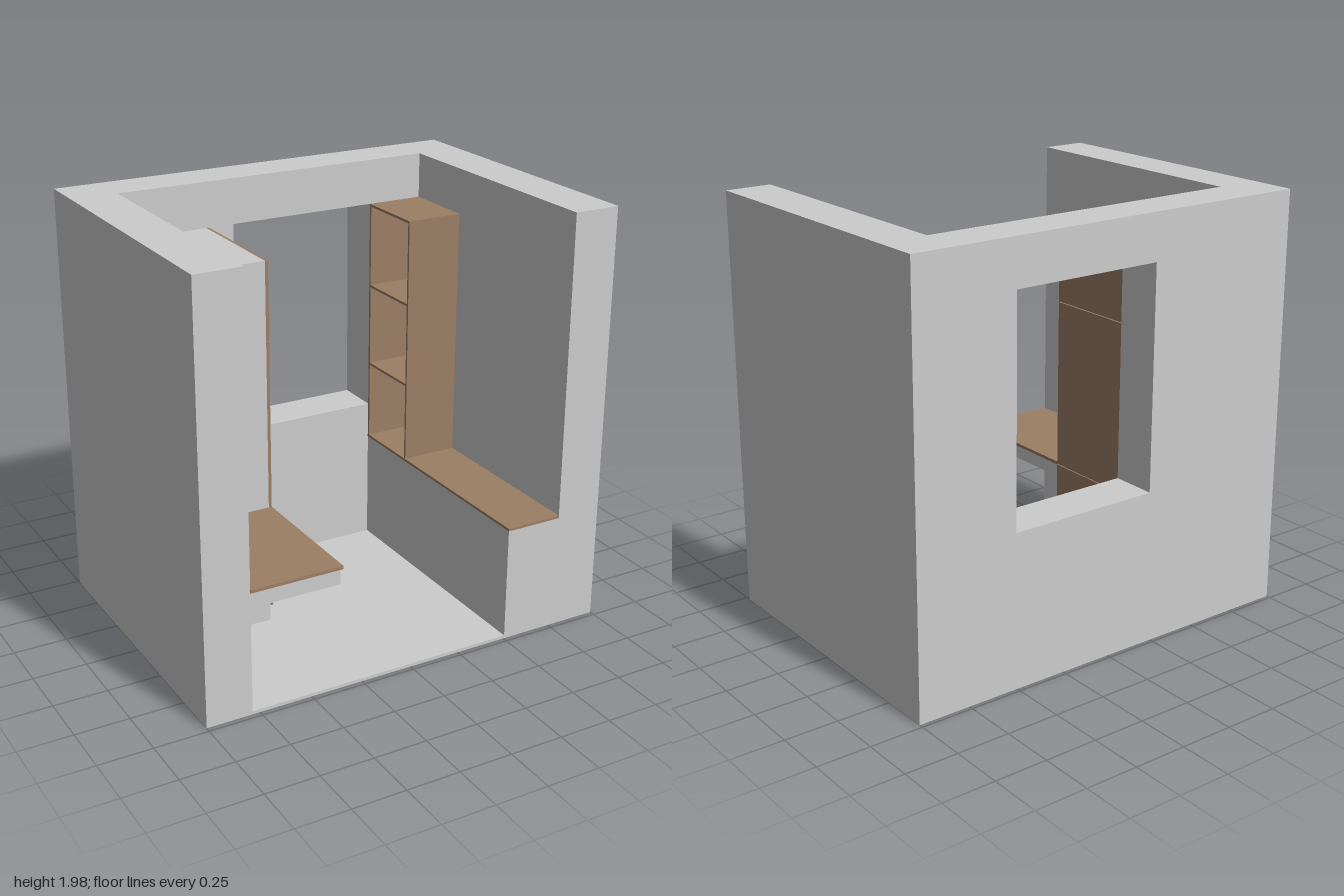
import * as THREE from 'three';

const wallGrey = new THREE.MeshStandardMaterial({ color: 0xcccccc });
wallGrey.name = 'wallGrey';
const woodBrown = new THREE.MeshStandardMaterial({ color: 0x9c7f65 });
woodBrown.name = 'woodBrown';

// Box given by its low and high corner on each axis
function box(parent, name, mat, [x0, x1], [y0, y1], [z0, z1]) {
  const mesh = new THREE.Mesh(new THREE.BoxGeometry(x1 - x0, y1 - y0, z1 - z0), mat);
  mesh.position.set((x0 + x1) / 2, (y0 + y1) / 2, (z0 + z1) / 2);
  mesh.name = name;
  parent.add(mesh);
  return mesh;
}

function rect(target, x0, x1, y0, y1) {
  target.moveTo(x0, y0);
  target.lineTo(x1, y0);
  target.lineTo(x1, y1);
  target.lineTo(x0, y1);
  target.closePath();
  return target;
}

export function createModel() {
  const model = new THREE.Group();
  model.name = 'room';

  const H = 1.975, BACK = -0.73, INNER = -0.515, FRONT = 0.725;
  const L = -0.785, R = 0.78;

  // Shell: floor, side walls and a back wall with a window opening
  const shell = new THREE.Group();
  shell.name = 'shell';
  model.add(shell);
  box(shell, 'floor', wallGrey, [L, R], [0, 0.015], [INNER, FRONT]);
  box(shell, 'rightWall', wallGrey, [-1, L], [0, H], [INNER, FRONT]);
  box(shell, 'leftWall', wallGrey, [R, 1], [0, H], [INNER, FRONT]);
  const wallShape = rect(new THREE.Shape(), -1, 1, 0, H);
  wallShape.holes.push(rect(new THREE.Path(), -0.225, 0.505, 0.725, 1.76));
  const backWall = new THREE.Mesh(
    new THREE.ExtrudeGeometry(wallShape, { depth: INNER - BACK, bevelEnabled: false }), wallGrey);
  backWall.position.z = BACK;
  backWall.name = 'backWall';
  shell.add(backWall);

  // Tall cupboard with three stacked doors facing the room
  const cupboard = new THREE.Group();
  cupboard.name = 'cupboard';
  model.add(cupboard);
  box(cupboard, 'cupboardBody', wallGrey, [L, -0.362], [0.015, 1.76], [INNER, 0.07]);
  [[0.09, 0.58], [0.584, 1.391], [1.395, 1.759]].forEach((span, i) =>
    box(cupboard, `cupboardDoor${i + 1}`, woodBrown, [-0.362, -0.347], span, [INNER, 0.07]));

  // Desk fixed between the cupboard and the front edge
  const desk = new THREE.Group();
  desk.name = 'desk';
  model.add(desk);
  box(desk, 'deskApron', wallGrey, [L, -0.36], [0.51, 0.58], [0.07, FRONT]);
  box(desk, 'deskTop', woodBrown, [L, -0.347], [0.58, 0.595], [0.07, 0.729]);

  // Low bench along the opposite wall
  const bench = new THREE.Group();
  bench.name = 'bench';
  model.add(bench);
  box(bench, 'benchBase', wallGrey, [0.505, R], [0.015, 0.548], [INNER, FRONT]);
  box(bench, 'benchTop', woodBrown, [0.503, R], [0.548, 0.56], [INNER, 0.727]);

  // Open shelves standing on the bench, open towards the room
  const shelves = new THREE.Group();
  shelves.name = 'shelves';
  model.add(shelves);
  const T = 0.012, Z1 = -0.155;
  box(shelves, 'shelfFrontSide', woodBrown, [0.505, R], [0.56, 1.76], [Z1 - T, Z1]);
  box(shelves, 'shelfRearSide', woodBrown, [0.505, R], [0.56, 1.76], [INNER, INNER + T]);
  box(shelves, 'shelfBacking', woodBrown, [R - T, R], [0.56, 1.76], [INNER + T, Z1 - T]);
  [0.95, 1.355, 1.76].forEach((y, i) =>
    box(shelves, `shelfBoard${i + 1}`, woodBrown, [0.505, R - T], [y - T, y], [INNER + T, Z1 - T]));

  return model;
}
